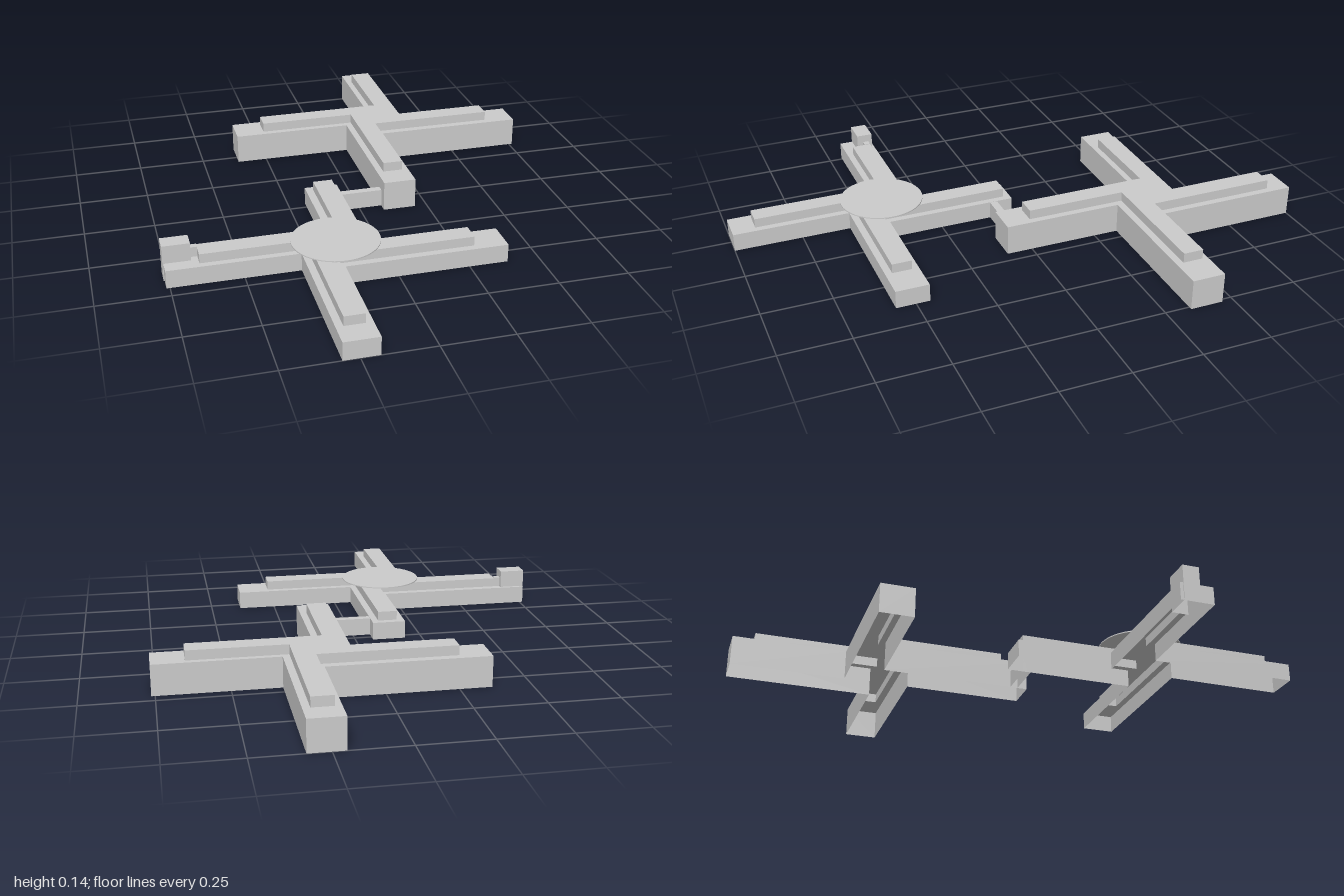
import * as THREE from 'three';
import { mergeGeometries } from 'three/addons/utils/BufferGeometryUtils.js';

const material = new THREE.MeshStandardMaterial({ color: 0xcccccc, side: THREE.DoubleSide, flatShading: true });

// Pinwheel cross outline [x, z]; each arm is [near edge, far edge, tip]
function pinwheel({ north: n, west: w, south: s, east: e }) {
  return [
    [n[0], n[2]], [n[0], w[0]], [w[2], w[0]], [w[2], w[1]],
    [s[0], w[1]], [s[0], s[2]], [s[1], s[2]], [s[1], e[1]],
    [e[2], e[1]], [e[2], e[0]], [n[1], e[0]], [n[1], n[2]],
  ];
}

const rectangle = (x0, x1, z0, z1) => [[x0, z0], [x0, z1], [x1, z1], [x1, z0]];

// Hollow tier, open below: outer walls plus a flat roof with an optional opening
function tier(name, outline, y0, y1, opening) {
  const toPoints = (list) => list.map(([x, z]) => new THREE.Vector2(x, -z));
  const shape = new THREE.Shape(toPoints(outline));
  if (opening) shape.holes.push(new THREE.Path(toPoints(opening)));
  const roof = new THREE.ShapeGeometry(shape).rotateX(-Math.PI / 2).translate(0, y1, 0).toNonIndexed();
  roof.deleteAttribute('uv');

  const corners = [];
  outline.forEach(([ax, az], i) => {
    const [bx, bz] = outline[(i + 1) % outline.length];
    corners.push(ax, y0, az, bx, y0, bz, bx, y1, bz, ax, y0, az, bx, y1, bz, ax, y1, az);
  });
  const walls = new THREE.BufferGeometry();
  walls.setAttribute('position', new THREE.Float32BufferAttribute(corners, 3));
  walls.computeVertexNormals();

  const mesh = new THREE.Mesh(mergeGeometries([roof, walls]), material);
  mesh.name = name;
  return mesh;
}

export function createModel() {
  const model = new THREE.Group();
  model.name = 'crossBuildings';

  // Tall rear building
  const rearBase = pinwheel({
    north: [0.205, 0.327, -1], west: [-0.58, -0.457, -0.363],
    south: [0.085, 0.205, 0.095], east: [-0.46, -0.34, 0.763],
  });
  const rearTop = pinwheel({
    north: [0.228, 0.302, -0.917], west: [-0.552, -0.48, -0.253],
    south: [0.109, 0.181, 0], east: [-0.44, -0.367, 0.648],
  });
  const rear = new THREE.Group();
  rear.name = 'rearBuilding';
  rear.add(tier('rearBase', rearBase, 0, 0.11, rearTop), tier('rearUpperStorey', rearTop, 0.11, 0.145));

  // Low front building
  const frontBase = pinwheel({
    north: [-0.187, -0.065, -0.03], west: [0.328, 0.45, -0.762],
    south: [-0.306, -0.185, 1], east: [0.45, 0.571, 0.387],
  });
  const frontTop = pinwheel({
    north: [-0.16, -0.089, -0.005], west: [0.355, 0.427, -0.646],
    south: [-0.281, -0.21, 0.915], east: [0.475, 0.546, 0.272],
  });
  const front = new THREE.Group();
  front.name = 'frontBuilding';
  front.add(tier('frontBase', frontBase, 0, 0.065, frontTop), tier('frontUpperStorey', frontTop, 0.065, 0.099));

  // Thin round roof over the crossing
  const disc = new THREE.Mesh(new THREE.CylinderGeometry(0.153, 0.153, 0.004, 48), material);
  disc.name = 'roundRoof';
  disc.position.set(-0.187, 0.101, 0.445);
  front.add(disc);

  // Stair tower at the end of the arm, with its short link
  front.add(
    tier('stairTower', rectangle(-0.765, -0.67, 0.34, 0.4), 0, 0.13),
    tier('towerLink', rectangle(-0.67, -0.646, 0.355, 0.377), 0.065, 0.101),
  );

  // Passage joining the two buildings
  const passage = tier('passage', rectangle(-0.065, 0.085, 0.03, 0.058), 0, 0.064);

  model.add(rear, front, passage);
  return model;
}
